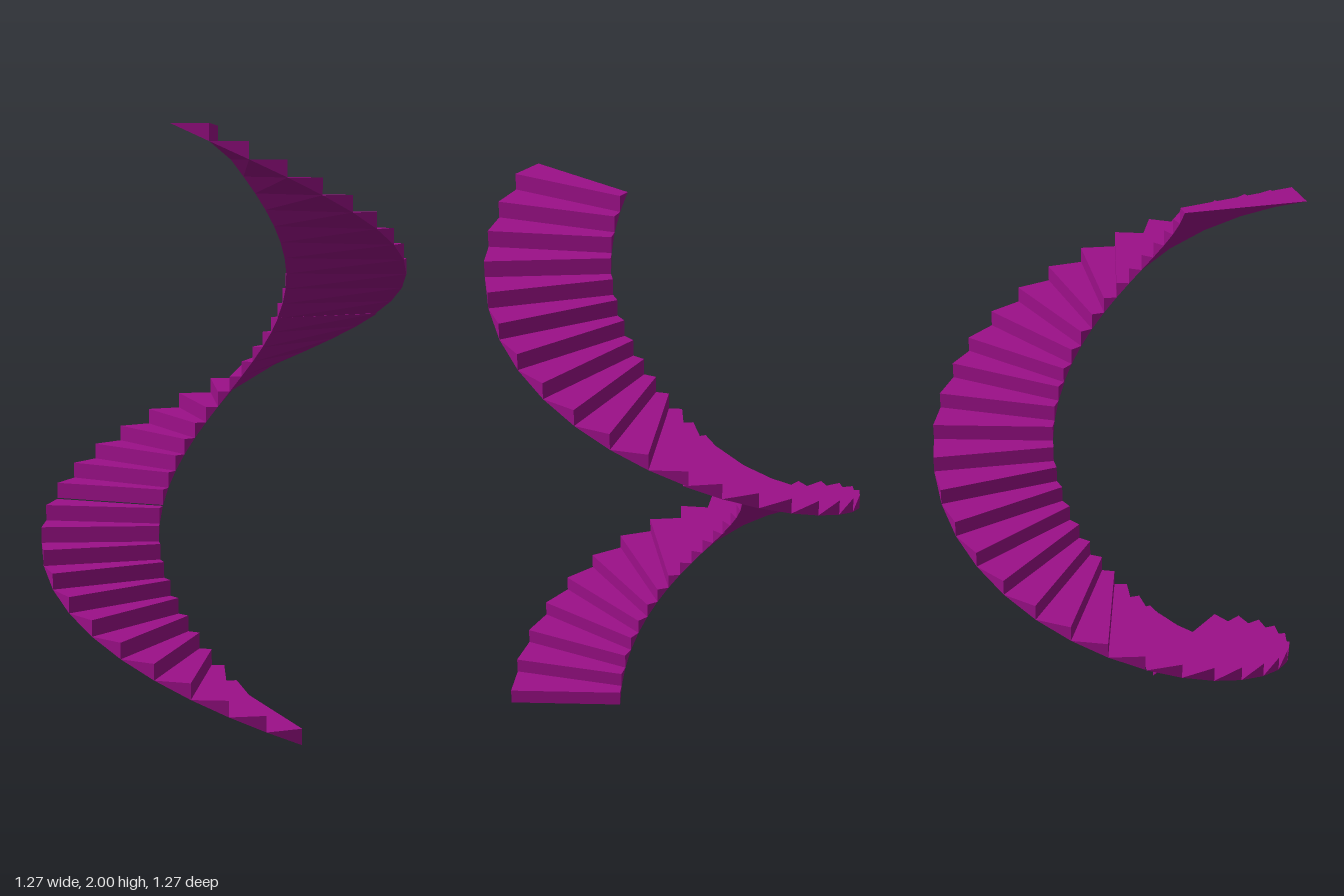
import * as THREE from 'three';

const INNER = 0.223, OUTER = 0.635;
const STEPS_PER_FLIGHT = 12, FLIGHTS = 3;
const RISE = 2 / (STEPS_PER_FLIGHT * FLIGHTS);
const TURN = THREE.MathUtils.degToRad(400 / (STEPS_PER_FLIGHT * FLIGHTS));

// One wedge step: upright riser, flat tread, twisted soffit tapering to nothing at the back
function stepGeometry() {
  const at = (r, a, y) => [-r * Math.sin(a), y, r * Math.cos(a)];
  const corners = [
    at(INNER, 0, 0), at(OUTER, 0, 0),              // riser foot
    at(INNER, 0, RISE), at(OUTER, 0, RISE),        // tread nose
    at(INNER, TURN, RISE), at(OUTER, TURN, RISE),  // tread back
  ];
  const faces = [
    0, 2, 3, 0, 3, 1,  // riser
    2, 4, 5, 2, 5, 3,  // tread
    0, 1, 5, 0, 5, 4,  // soffit
    1, 3, 5, 0, 4, 2,  // outer and inner cheeks
  ];
  const indexed = new THREE.BufferGeometry();
  indexed.setAttribute('position', new THREE.Float32BufferAttribute(corners.flat(), 3));
  indexed.setIndex(faces);
  const geometry = indexed.toNonIndexed();
  geometry.computeVertexNormals();
  return geometry;
}

export function createModel() {
  const model = new THREE.Group();
  model.name = 'spiralStaircase';
  const material = new THREE.MeshStandardMaterial({ color: 0x9c1088, flatShading: true });
  const geometry = stepGeometry();

  // Three equal flights, with a hairline joint below the middle one
  const starts = [-38.9, 94.8, 226.67];
  const lifts = [0, 0.003, 0];
  for (let f = 0; f < FLIGHTS; f++) {
    const flight = new THREE.Group();
    flight.name = `flight${f + 1}`;
    flight.rotation.y = -THREE.MathUtils.degToRad(starts[f]);
    flight.position.y = f * STEPS_PER_FLIGHT * RISE + lifts[f];
    for (let i = 0; i < STEPS_PER_FLIGHT; i++) {
      const step = new THREE.Mesh(geometry, material);
      step.name = `step${f * STEPS_PER_FLIGHT + i + 1}`;
      step.rotation.y = -i * TURN;
      step.position.y = i * RISE;
      flight.add(step);
    }
    model.add(flight);
  }
  return model;
}
